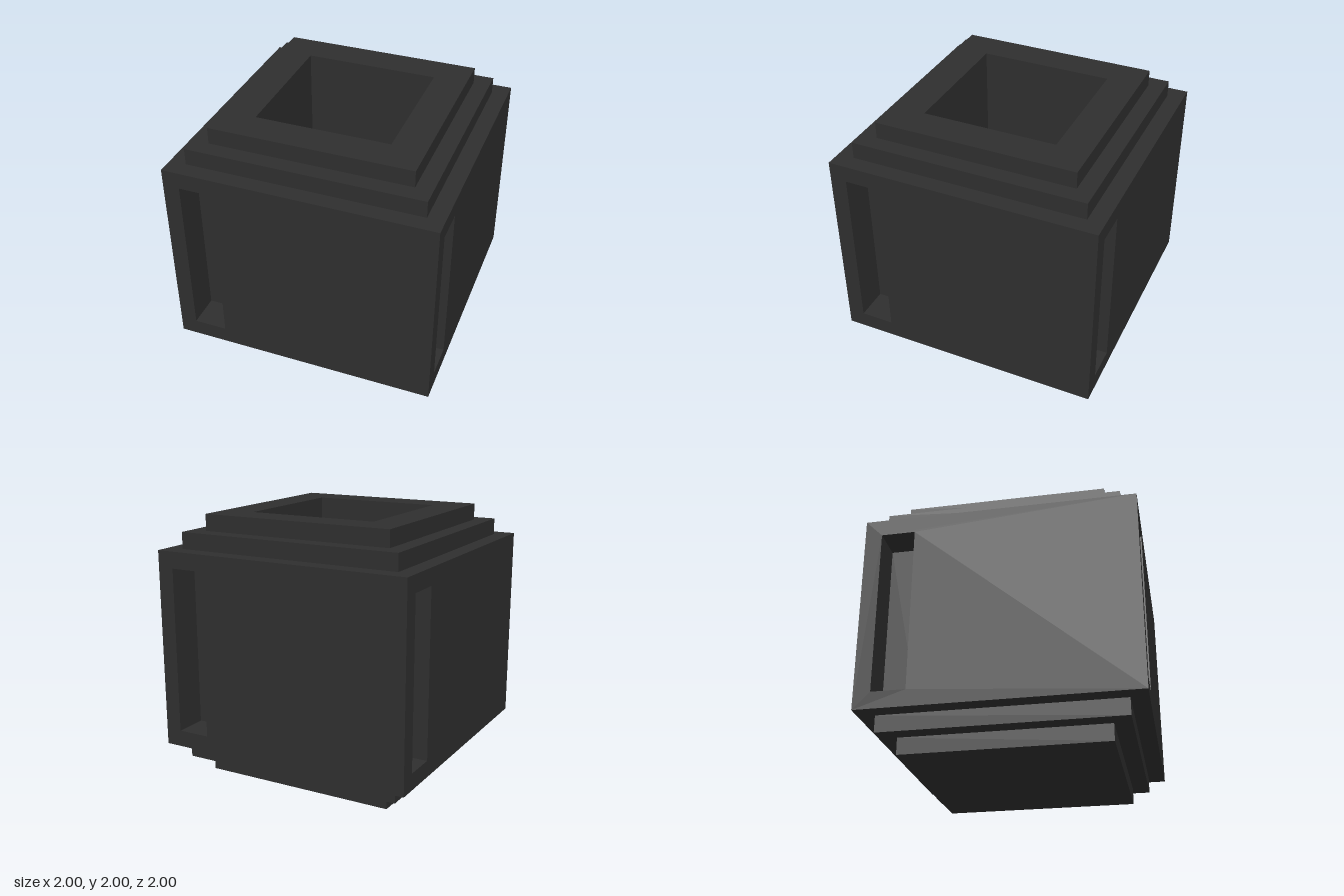
import * as THREE from 'three';

const charcoal = new THREE.MeshStandardMaterial({ color: 0x2e2e2e });
charcoal.name = 'charcoal';

function part(name, geometry) {
  const mesh = new THREE.Mesh(geometry, charcoal);
  mesh.name = name;
  return mesh;
}

// Square turned profile: points are [half width, height], outside faces run upward
function squareLathe(profile) {
  const points = profile.map(([w, y]) => new THREE.Vector2(w * Math.SQRT2, y));
  const geometry = new THREE.LatheGeometry(points, 4, Math.PI / 4).toNonIndexed();
  geometry.computeVertexNormals();
  return geometry;
}

// Box seen from inside, with one face left open (order +x -x +y -y +z -z)
function recess(w, h, d, openFace) {
  const geometry = new THREE.BoxGeometry(w, h, d);
  const index = Array.from(geometry.index.array);
  index.splice(openFace * 6, 6);
  geometry.setIndex(index.reverse());
  const normal = geometry.attributes.normal;
  for (let i = 0; i < normal.count; i++) {
    normal.setXYZ(i, -normal.getX(i), -normal.getY(i), -normal.getZ(i));
  }
  return geometry;
}

function rectangle(path, x0, y0, x1, y1) {
  return path.moveTo(x0, y0).lineTo(x1, y0).lineTo(x1, y1).lineTo(x0, y1).closePath();
}

export function createModel() {
  const model = new THREE.Group();
  model.name = 'steppedBlock';

  // Stepped rim leading into the square well
  model.add(part('topRimAndWell', squareLathe([
    [1, 1.75], [0.875, 1.75], [0.875, 1.875], [0.75, 1.875],
    [0.75, 2], [0.5, 2], [0.5, 0.25], [0, 0.25],
  ])));

  // Stepped, closed base
  model.add(part('steppedBase', squareLathe([
    [0, 0], [0.75, 0], [0.75, 0.125], [0.875, 0.125], [0.875, 0.25], [1, 0.25],
  ])));

  // Four side walls, each with a tall slot near its left edge
  const wall = rectangle(new THREE.Shape(), -1, 0.25, 1, 1.75);
  wall.holes.push(rectangle(new THREE.Path(), -0.875, 0.375, -0.625, 1.625));
  const wallGeometry = new THREE.ShapeGeometry(wall).translate(0, 0, 1);
  const slotGeometry = recess(0.25, 1.25, 0.25, 4).translate(-0.75, 1, 0.875);

  ['front', 'left', 'back', 'right'].forEach((name, i) => {
    const side = new THREE.Group();
    side.name = name + 'Side';
    side.add(part(name + 'Wall', wallGeometry), part(name + 'Slot', slotGeometry));
    side.rotation.y = i * Math.PI / 2;
    model.add(side);
  });

  return model;
}
